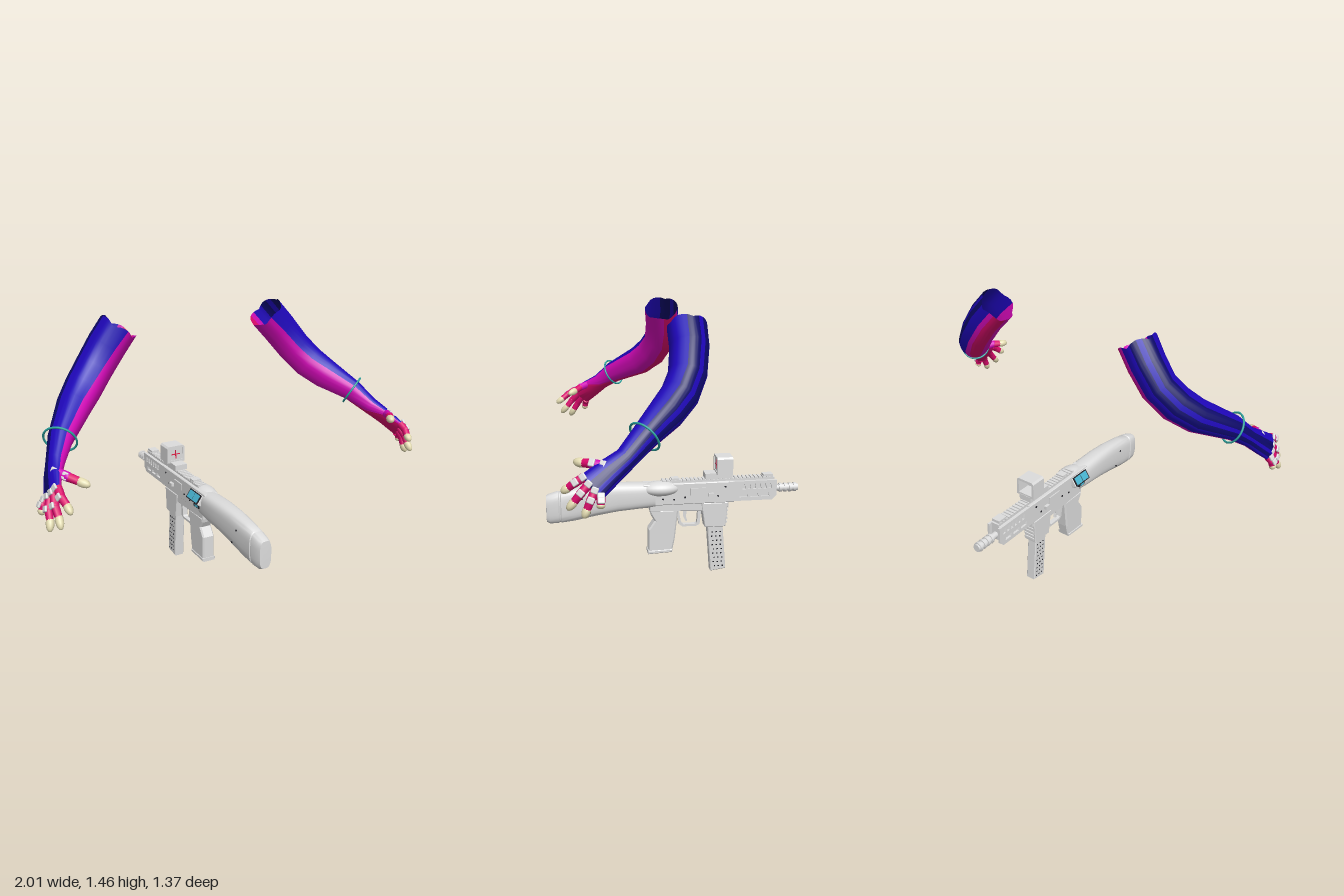
import * as THREE from 'three';
import { toCreasedNormals } from 'three/addons/utils/BufferGeometryUtils.js';
import { RoundedBoxGeometry } from 'three/addons/geometries/RoundedBoxGeometry.js';

const mat = (name, color, side = THREE.FrontSide) => {
  const m = new THREE.MeshStandardMaterial({ color, side });
  m.name = name;
  return m;
};
const V = (x, y, z) => new THREE.Vector3(x, y, z);

export function createModel() {
  const blue = mat('sleeve blue', 0x1e06b8, THREE.DoubleSide);
  const navy = mat('sleeve stripe navy', 0x0c0868, THREE.DoubleSide);
  const magenta = mat('inner arm magenta', 0xd408b8, THREE.DoubleSide);
  const crimson = mat('palm crimson', 0xdc0a6c, THREE.DoubleSide);
  const cream = mat('nail cream', 0xe4dcb2);
  const grey = mat('weapon grey', 0xdcdcdc);
  const teal = mat('bracelet teal', 0x2ca4a0);
  const cyan = mat('screen cyan', 0x48b4d0);
  const red = mat('reticle red', 0xf82450);
  const dark = mat('detail dark', 0x202026);

  const model = new THREE.Group();
  const add = (parent, name, geo, material, x = 0, y = 0, z = 0) => {
    const m = new THREE.Mesh(geo, material);
    m.name = name;
    m.position.set(x, y, z);
    parent.add(m);
    return m;
  };

  // Skin stretched over rows of points
  const loft = (rings, crease = 0.7) => {
    const n = rings[0].length, pos = [], idx = [];
    rings.forEach(r => r.forEach(p => pos.push(p.x, p.y, p.z)));
    for (let i = 0; i < rings.length - 1; i++) {
      for (let j = 0; j < n - 1; j++) {
        const a = i * n + j, c = a + n;
        idx.push(a, a + 1, c, a + 1, c + 1, c);
      }
    }
    const g = new THREE.BufferGeometry();
    g.setAttribute('position', new THREE.Float32BufferAttribute(pos, 3));
    g.setIndex(idx);
    return toCreasedNormals(g, crease);
  };

  // Tapered rod between two points
  const rod = (parent, name, p, q, r1, r2, material) => {
    const d = q.clone().sub(p);
    const m = add(parent, name, new THREE.CylinderGeometry(r2, r1, d.length(), 10), material);
    m.position.copy(p).add(q).multiplyScalar(0.5);
    m.quaternion.setFromUnitVectors(V(0, 1, 0), d.normalize());
  };

  // ---- Arms: sections are x, y, z; sizes are half thickness, half breadth
  const sizes = [[.093, .092], [.093, .09], [.09, .088], [.088, .088], [.08, .083], [.056, .062], [.042, .05], [.034, .06], [.024, .068]];
  // Angles round the arm, per section, where the skin changes colour
  const back = -1.65, round = 2 * Math.PI + back;
  const seam = [2.02, 1.94, 1.86, 1.78, 1.7, 1.62, 1.62, 1.62, 1.62];
  const palmStart = [3.5, 3.5, 3.5, 3.55, 3.7, 3.6, 3, 2.2, 2];
  const palmEnd = [4.35, 4.35, 4.35, 4.3, 4.1, 4, 4.2, 4.5, 4.55];
  const bands = [
    ['outerSleeve', back, -1.05, blue], ['sleeveStripe', -1.05, -0.65, navy], ['outerSleeve', -0.65, -0.35, blue],
    ['sleeveStripe', -0.35, 0.3, navy], ['outerSleeve', 0.3, seam, blue], ['innerArmFront', seam, palmStart, magenta],
    ['underArmAndPalm', palmStart, palmEnd, crimson], ['innerArmBack', palmEnd, round, magenta],
  ];
  function arm(name, s, path, tips, thumbTip) {
    const g = new THREE.Group();
    g.name = name;
    model.add(g);
    const pts = path.map(p => V(...p)), last = pts.length - 1;
    const frames = pts.map((p, i) => {
      const t = pts[Math.min(i + 1, last)].clone().sub(pts[Math.max(i - 1, 0)]).normalize();
      const u = V(0.8 * s, 0.6, -0.25);
      u.addScaledVector(t, -u.dot(t)).normalize();
      return { p, t, u, v: t.clone().cross(u) };
    });
    // Angles run from the outer face (0) towards the front (positive)
    const section = (i, a0, a1) => {
      const { p, t, u, v } = frames[i], [a, b] = sizes[i], n = 8;
      const [from, to] = s > 0 ? [a0, a1] : [-a1, -a0];
      return Array.from({ length: n + 1 }, (_, k) => {
        const th = from + (to - from) * k / n;
        const ridge = 1 + (i < 6 ? 0.025 * Math.cos(6 * th) : 0);
        const q = p.clone().addScaledVector(u, a * ridge * Math.cos(th)).addScaledVector(v, b * ridge * Math.sin(th));
        if (i === 0) q.addScaledVector(t, 0.012 - 0.02 * Math.abs(Math.sin(2.5 * th)));
        return q;
      });
    };
    bands.forEach(([label, a0, a1, material]) => {
      const rings = pts.map((_, i) => section(i, a0[i] ?? a0, a1[i] ?? a1));
      rings.push(rings[0].map(() => pts[last].clone().addScaledVector(frames[last].t, 0.012)));
      add(g, label, loft(rings, 1.0), material);
    });

    // Bracelet around the wrist
    const band = add(g, 'bracelet', new THREE.TorusGeometry(0.076, 0.005, 8, 36), teal);
    band.position.copy(pts[5]);
    band.quaternion.setFromUnitVectors(V(0, 0, 1), frames[5].t);

    // Fingers with back plates and long nails
    const finger = (label, base, tip, r, up, material) => {
      const f = new THREE.Group();
      f.name = label;
      g.add(f);
      const at = k => base.clone().lerp(tip, k);
      const dir = tip.clone().sub(base).normalize();
      const mid = at(0.4).addScaledVector(up, 0.008);
      rod(f, 'lowerSegment', base, mid, r, r * 0.95, material);
      rod(f, 'upperSegment', mid, at(0.72), r * 0.95, r * 0.85, crimson);
      add(f, 'joint', new THREE.SphereGeometry(r, 10, 8), material).position.copy(mid);
      const nail = add(f, 'nail', new THREE.SphereGeometry(r, 12, 8), cream);
      nail.position.copy(at(0.79));
      nail.scale.set(0.95, tip.distanceTo(base) * 0.25 / r, 0.95);
      nail.quaternion.setFromUnitVectors(V(0, 1, 0), dir);
      [0.05, 0.43].forEach(k => {
        const plate = add(f, 'knucklePlate', new RoundedBoxGeometry(r * 1.6, 0.028, 0.012, 2, 0.005), grey);
        plate.position.copy(at(k)).addScaledVector(up, r + (k > 0.2 ? 0.005 : 0));
        const x = dir.clone().cross(up).normalize();
        plate.quaternion.setFromRotationMatrix(new THREE.Matrix4().makeBasis(x, dir, x.clone().cross(dir)));
      });
    };
    const { u, v } = frames[last];
    tips.forEach((tip, i) => finger('finger', pts[last].clone().addScaledVector(v, s * (-0.052 + i * 0.035)), V(...tip), 0.0195, u, crimson));
    finger('thumb', pts[7].clone().addScaledVector(v, s * 0.035), V(...thumbTip), 0.022, u, magenta);
  }
  arm('leftArm', 1,
    [[.37, 1.395, -.04], [.45, 1.31, -.045], [.54, 1.2, -.03], [.61, 1.12, .01], [.68, 1.06, .07], [.79, .98, .17], [.86, .905, .25], [.905, .86, .32], [.945, .81, .39]],
    [[.985, .73, .355], [.975, .69, .425], [.955, .72, .49], [.925, .785, .515]], [.84, .89, .465]);
  arm('rightArm', -1,
    [[-.46, 1.405, .04], [-.52, 1.32, .035], [-.59, 1.22, .045], [-.66, 1.14, .09], [-.73, 1.075, .16], [-.84, .985, .32], [-.885, .92, .4], [-.915, .875, .46], [-.94, .825, .53]],
    [[-.99, .73, .51], [-.975, .69, .6], [-.94, .715, .65], [-.9, .785, .675]], [-.795, .86, .59]);

  // ---- Weapon, lying along z and turned slightly
  const gun = new THREE.Group();
  gun.name = 'weapon';
  gun.position.x = -0.045;
  gun.rotation.y = 0.085;
  model.add(gun);
  const box = (name, w, h, d, x, y, z, m = grey) => add(gun, name, new THREE.BoxGeometry(w, h, d), m, x, y, z);
  // Side profile of [z, y] points, extruded across x
  const slab = (name, pts, w, x = 0, holes = [], bevel = 0.004) => {
    const toPts = a => a.map(p => new THREE.Vector2(...p));
    const shape = new THREE.Shape(toPts(pts));
    holes.forEach(hh => shape.holes.push(new THREE.Path(toPts(hh))));
    const geo = new THREE.ExtrudeGeometry(shape, { depth: w - 2 * bevel, bevelEnabled: bevel > 0, bevelThickness: bevel, bevelSize: bevel, bevelOffset: -bevel, bevelSegments: 1 });
    geo.translate(0, 0, bevel - w / 2).rotateY(-Math.PI / 2);
    return add(gun, name, geo, grey, x);
  };

  // Stock: z, bottom, top, half width
  const stockRings = [
    [.1, .385, .515, .045], [.18, .382, .522, .055], [.3, .372, .526, .054], [.42, .352, .522, .05], [.53, .33, .508, .046],
    [.6, .322, .495, .043], [.604, .326, .491, .039], [.61, .326, .49, .039], [.614, .32, .493, .043],
    [.66, .32, .48, .039], [.678, .33, .472, .032], [.68, .4, .4, 0],
  ].map(([z, lo, hi, w]) => Array.from({ length: 33 }, (_, k) => {
    const a = k / 32 * Math.PI * 2, c = Math.cos(a), q = Math.sin(a);
    const soft = e => Math.sign(e) * Math.abs(e) ** 0.65;
    return V(w * soft(c), (lo + hi) / 2 + (hi - lo) / 2 * soft(q), z);
  }));
  add(gun, 'stock', loft(stockRings), grey);
  add(gun, 'cheekBulge', new THREE.SphereGeometry(1, 28, 16), grey, 0.012, 0.488, 0.07).scale.set(0.056, 0.041, 0.105);
  for (const s of [1, -1]) {
    for (const [z, y] of [[.49, .46], [.45, .38], [.28, .44], [.25, .46], [.22, .43]]) {
      add(gun, 'stockRivet', new THREE.SphereGeometry(0.005, 8, 6), dark, s * 0.048, y, z);
    }
  }

  // Framed screen on the right flank, tilted upwards
  const screen = new THREE.Group();
  screen.name = 'screen';
  screen.position.set(-0.06, 0.487, 0.085);
  screen.rotation.z = -0.6;
  gun.add(screen);
  add(screen, 'screenMount', new RoundedBoxGeometry(0.03, 0.058, 0.12, 2, 0.006), grey, 0.018);
  add(screen, 'screenFrame', new THREE.BoxGeometry(0.006, 0.052, 0.114), dark);
  [-0.0265, 0.0265].forEach(z => add(screen, 'screenPane', new THREE.BoxGeometry(0.002, 0.042, 0.049), cyan, -0.0035, 0, z));
  box('lowerPanel', 0.008, 0.016, 0.05, -0.052, 0.438, 0.1, dark);
  box('lowerPane', 0.002, 0.01, 0.03, -0.0565, 0.438, 0.1, cyan);

  // Receiver, magazine well and handguard
  slab('upperReceiver', [[.2, .4], [.2, .5], [.16, .518], [-.33, .518], [-.33, .4]], 0.078);
  slab('lowerReceiver', [[.13, .365], [.13, .41], [-.3, .41], [-.3, .37], [-.15, .355]], 0.066);
  slab('magazineWell', [[-.15, .4], [-.295, .4], [-.285, .262], [-.17, .262]], 0.076);
  slab('handguardCore', [[-.3, .41], [-.3, .514], [-.55, .514], [-.55, .43], [-.53, .41]], 0.056);
  const slots = [];
  for (let i = 0; i < 6; i++) {
    const z = -0.375 - i * 0.029;
    slots.push([[z, .47], [z - .018, .47], [z - .012, .5], [z + .006, .5]]);
  }
  for (let i = 0; i < 3; i++) {
    const z = -0.36 - i * 0.06;
    slots.push([[z, .426], [z - .045, .426], [z - .04, .446], [z + .005, .446]]);
  }
  for (const s of [1, -1]) {
    slab('handguardPanel', [[-.3, .406], [-.3, .516], [-.565, .516], [-.565, .43], [-.54, .406]], 0.012, s * 0.034, slots, 0);
    box('portCover', 0.008, 0.034, 0.085, s * 0.039, 0.468, -0.13);
    box('portLip', 0.006, 0.006, 0.085, s * 0.043, 0.487, -0.13);
    box('sideLatch', 0.02, 0.018, 0.03, s * 0.045, 0.45, -0.2);
    for (const [z, y] of [[.06, .435], [0, .43], [-.06, .44], [-.24, .44], [-.28, .49]]) {
      const pin = add(gun, 'pin', new THREE.CylinderGeometry(0.005, 0.005, 0.006, 8), dark, s * 0.0395, y, z);
      pin.rotation.z = Math.PI / 2;
    }
  }

  // Top rail with teeth and folded sights
  box('rail', 0.045, 0.012, 0.62, 0, 0.522, -0.245);
  for (let i = 0; i < 28; i++) box('railTooth', 0.052, 0.008, 0.012, 0, 0.53, 0.055 - i * 0.022);
  box('rearSight', 0.045, 0.014, 0.04, 0, 0.535, -0.01);
  box('frontSight', 0.045, 0.014, 0.055, 0, 0.538, -0.52);

  // Barrel and muzzle
  const tube = (name, r, len, z) => {
    add(gun, name, new THREE.CylinderGeometry(r, r, len, 16), grey, 0, 0.46, z).rotation.x = Math.PI / 2;
  };
  tube('barrel', 0.017, 0.06, -0.57);
  tube('muzzleCore', 0.02, 0.11, -0.637);
  for (let i = 0; i < 4; i++) tube('muzzleRing', 0.025, 0.014, -0.594 - i * 0.027);

  // Grip, trigger and magazine
  slab('grip', [[.13, .37], [.125, .345], [.105, .31], [.138, .262], [.138, .125], [.01, .13], [-.005, .2], [-.025, .37]], 0.068, 0, [], 0.008);
  slab('gripBase', [[.142, .122], [.142, .142], [.008, .146], [.01, .128]], 0.074);
  slab('triggerGuard', [[-.015, .37], [-.155, .37], [-.145, .275], [-.125, .265], [-.05, .265], [-.03, .28]], 0.026, 0,
    [[[-.03, .358], [-.135, .358], [-.13, .283], [-.12, .277], [-.055, .277], [-.043, .287]]], 0);
  slab('trigger', [[-.055, .36], [-.075, .36], [-.07, .32], [-.078, .295], [-.068, .292], [-.055, .32]], 0.014, 0, [], 0);
  slab('magazine', [[-.185, .275], [-.27, .275], [-.29, .012], [-.205, 0]], 0.054);
  for (let i = 0; i < 5; i++) box('wellRib', 0.06, 0.01, 0.012, 0, 0.285 + i * 0.022, -0.288 - i * 0.0015);
  for (const s of [1, -1]) {
    for (let i = 0; i < 9; i++) {
      for (let j = 0; j < 3; j++) {
        box('magazineDimple', 0.003, 0.006, 0.007, s * 0.027, 0.03 + i * 0.025, -0.228 - j * 0.022 + i * 0.0018 + (i % 2) * 0.005, dark);
      }
    }
  }

  // Boxed optic with a red cross on its pane
  box('opticBase', 0.07, 0.03, 0.15, 0, 0.55, -0.245);
  const frame = new THREE.Shape([[-.053, .56], [.053, .56], [.053, .645], [.044, .655], [-.044, .655], [-.053, .645]].map(p => new THREE.Vector2(...p)));
  frame.holes.push(new THREE.Path([[-.041, .573], [.041, .573], [.041, .642], [-.041, .642]].map(p => new THREE.Vector2(...p))));
  add(gun, 'opticFrame', new THREE.ExtrudeGeometry(frame, { depth: 0.086, bevelEnabled: false }), grey, 0, 0, -0.318);
  box('opticPane', 0.084, 0.072, 0.008, 0, 0.607, -0.24);
  box('crossBar', 0.05, 0.0055, 0.002, 0, 0.607, -0.2355, red);
  box('crossPost', 0.0055, 0.05, 0.002, 0, 0.607, -0.2355, red);
  return model;
}
